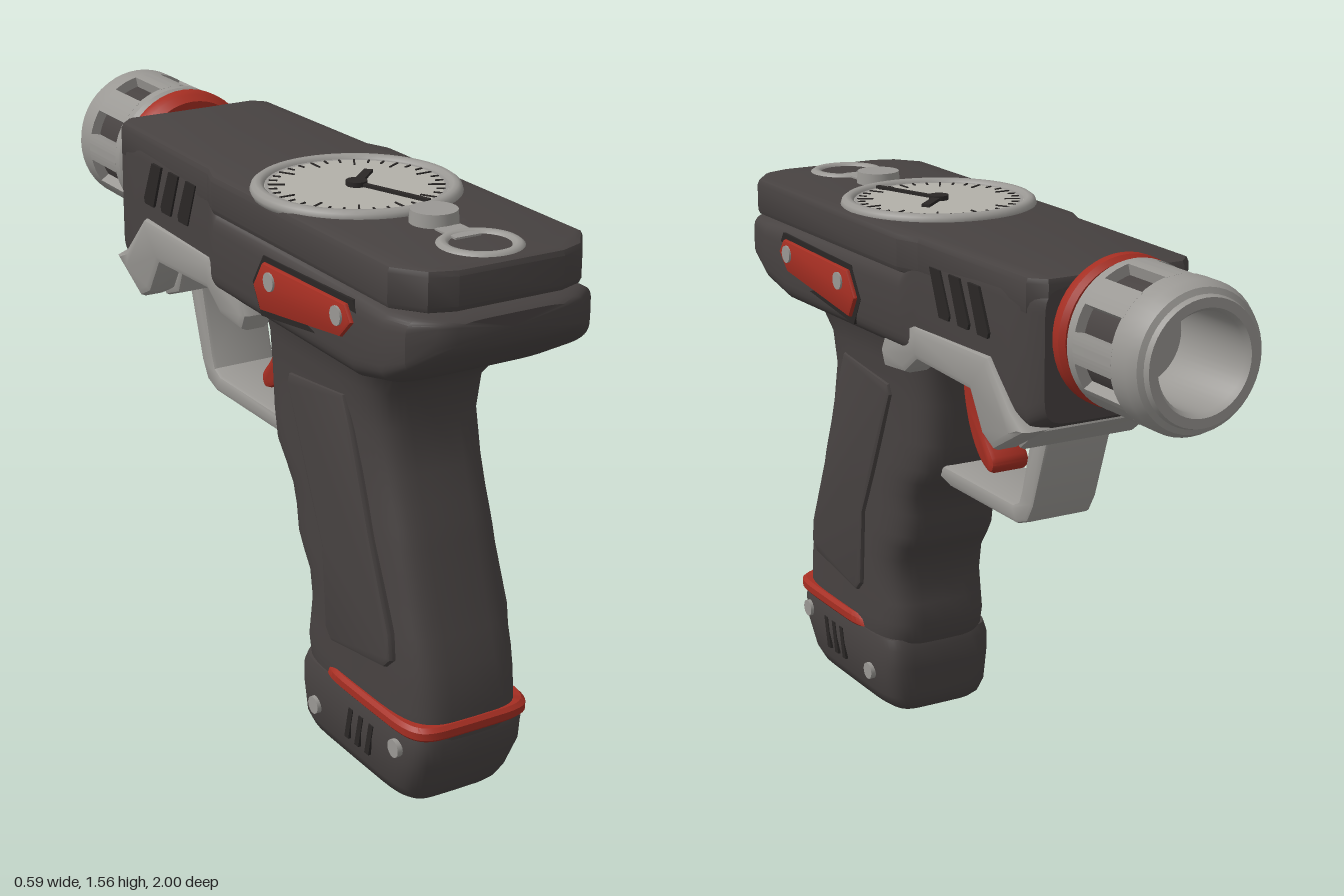
import * as THREE from 'three';
import { toCreasedNormals } from 'three/addons/utils/BufferGeometryUtils.js';

const mat = (name, color) => new THREE.MeshStandardMaterial({ name, color });

export function createModel() {
  const root = new THREE.Group();
  const dark = mat('charcoal', 0x474241), seam = mat('seam black', 0x2a2726);
  const red = mat('red', 0xa52e22), gray = mat('metal gray', 0x9a9894), pale = mat('dial gray', 0xb2b0a9);

  const add = (name, geo, m, x = 0, y = 0, z = 0) => {
    const mesh = new THREE.Mesh(geo, m);
    mesh.name = name;
    mesh.position.set(x, y, z);
    root.add(mesh);
    return mesh;
  };

  // Loft of rounded sections. Rows are [t, a0, a1, halfWidth, power]:
  // axis 'y' runs downward with a = z, axis 'z' runs upward with a = y.
  const loft = (rows, axis, power = 0.45, n = 48) => {
    const pos = [], idx = [];
    const pow = (v, p) => Math.sign(v) * Math.abs(v) ** p;
    const put = (x, a, t) => (axis === 'y' ? pos.push(x, t, a) : pos.push(x, a, t));
    rows.forEach(([t, a0, a1, hw, p = power], i) => {
      for (let j = 0; j < n; j++) {
        const k = (j / n) * Math.PI * 2;
        put(hw * pow(Math.cos(k), p), (a0 + a1) / 2 + ((a1 - a0) / 2) * pow(Math.sin(k), p), t);
        if (i === rows.length - 1) continue;
        const a = i * n + j, b = i * n + ((j + 1) % n);
        idx.push(a, b, a + n, b, b + n, a + n);
      }
    });
    const last = (rows.length - 1) * n, c0 = rows.length * n;
    for (const r of [rows[0], rows[rows.length - 1]]) put(0, (r[1] + r[2]) / 2, r[0]);
    for (let j = 0; j < n; j++) {
      const k = (j + 1) % n;
      idx.push(c0, k, j, c0 + 1, last + j, last + k);
    }
    const g = new THREE.BufferGeometry();
    g.setAttribute('position', new THREE.Float32BufferAttribute(pos, 3));
    g.setIndex(idx);
    return toCreasedNormals(g, 0.7);
  };

  const shapeOf = (pts, smooth) => {
    const v = pts.map(p => new THREE.Vector2(...p));
    if (!smooth) return new THREE.Shape(v);
    const curve = new THREE.CatmullRomCurve3(v.map(p => new THREE.Vector3(p.x, p.y, 0)), true);
    return new THREE.Shape(curve.getPoints(60).slice(0, -1).map(p => new THREE.Vector2(p.x, p.y)));
  };
  const extrude = (shape, depth, bevel) => new THREE.ExtrudeGeometry(shape, {
    depth: depth - 2 * bevel, bevelEnabled: bevel > 0, bevelSize: bevel, bevelThickness: bevel,
    bevelOffset: -bevel, bevelSegments: 2, curveSegments: 12,
  });
  // Side outline of [z, y] points, extruded across x and centred
  const across = (pts, width, bevel = 0, smooth = false) => {
    const g = extrude(shapeOf(pts, smooth), width, bevel);
    g.translate(0, 0, -width / 2 + bevel);
    return toCreasedNormals(g.rotateY(-Math.PI / 2), 0.6);
  };
  // The same plate on both sides, spanning |x| = x0..x1
  const pair = (name, pts, x0, x1, m, bevel = 0, smooth = false) => {
    for (const s of [1, -1]) add(name, across(pts, x1 - x0, bevel, smooth), m, s * (x0 + x1) / 2);
  };
  const sideScrews = (name, x, spots) => {
    for (const s of [1, -1]) for (const [z, y] of spots) {
      add(name, new THREE.CylinderGeometry(0.025, 0.025, 0.03, 16).rotateZ(Math.PI / 2), gray, s * x, y, z);
    }
  };

  // Receiver
  add('receiver', loft([
    [-0.62, 1.14, 1.49, 0.21, 0.25], [-0.58, 1.12, 1.5, 0.24, 0.2], [-0.5, 1.12, 1.5, 0.243, 0.2],
    [-0.46, 1.17, 1.5, 0.245, 0.2], [-0.05, 1.18, 1.5, 0.252, 0.2], [0.02, 1.18, 1.43, 0.275, 0.35],
    [0.72, 1.17, 1.42, 0.278, 0.38], [0.85, 1.2, 1.41, 0.278, 0.4], [0.94, 1.25, 1.41, 0.268, 0.4],
    [0.985, 1.3, 1.4, 0.21, 0.4], [1, 1.32, 1.39, 0.16, 0.4]], 'z'), dark);
  const half = [[0.2, -0.62], [0.24, -0.58], [0.252, -0.05], [0.278, 0.02], [0.28, 0.88], [0.22, 0.96], [0.15, 0.985]];
  const lid = [...half, ...half.map(([x, z]) => [-x, z]).reverse()];
  add('topCover', toCreasedNormals(extrude(shapeOf(lid), 0.11, 0.018).rotateX(Math.PI / 2), 0.5), dark, 0, 1.5);

  // Grip, with finger swells along its -z edge
  add('grip', loft([
    [1.3, 0.05, 0.9, 0.23], [1.21, 0.05, 0.86, 0.215], [1.17, 0.05, 0.76, 0.195], [1.1, 0.07, 0.695, 0.183],
    [1, 0.075, 0.68, 0.177], [0.88, 0.08, 0.71, 0.175], [0.8, 0.095, 0.737, 0.175], [0.75, 0.14, 0.755, 0.175],
    [0.7, 0.18, 0.772, 0.175], [0.64, 0.2, 0.79, 0.175], [0.57, 0.21, 0.815, 0.175], [0.53, 0.235, 0.827, 0.175],
    [0.48, 0.272, 0.845, 0.175], [0.4, 0.285, 0.87, 0.175], [0.34, 0.275, 0.883, 0.175],
    [0.28, 0.265, 0.89, 0.175], [0.22, 0.28, 0.892, 0.175], [0.2, 0.29, 0.89, 0.17]], 'y'), dark);
  pair('gripPanel', [[0.53, 1.06], [0.26, 1.03], [0.25, 1], [0.29, 0.91], [0.36, 0.75], [0.43, 0.6], [0.45, 0.37],
    [0.48, 0.34], [0.74, 0.38], [0.77, 0.41], [0.76, 0.48], [0.66, 0.72], [0.57, 0.97]], 0.15, 0.188, dark, 0.012);

  // Grip base with red band, slots and screws
  add('gripBase', loft([[0.23, 0.29, 0.885, 0.178], [0.2, 0.278, 0.892, 0.184], [0.14, 0.278, 0.885, 0.184],
    [0.05, 0.28, 0.845, 0.172], [0.015, 0.29, 0.825, 0.155], [0, 0.305, 0.81, 0.135]], 'y', 0.32), dark);
  add('baseBand', loft([[0.26, 0.43, 0.895, 0.18], [0.25, 0.42, 0.905, 0.189], [0.23, 0.41, 0.905, 0.189],
    [0.22, 0.42, 0.895, 0.18]], 'y', 0.35), red);
  for (let i = 0; i < 3; i++) {
    const z = 0.695 - i * 0.05;
    pair('baseSlot', [[z, 0.185], [z - 0.02, 0.185], [z - 0.04, 0.09], [z - 0.02, 0.09]], 0.178, 0.1865, seam);
  }
  sideScrews('baseScrew', 0.177, [[0.8, 0.175], [0.4, 0.11]]);

  // Red side plates in dark surrounds
  pair('plateSurround', [[0.72, 1.385], [0.29, 1.375], [0.235, 1.29], [0.28, 1.21], [0.69, 1.265], [0.755, 1.33]],
    0.262, 0.2765, seam);
  pair('sidePlate', [[0.7, 1.37], [0.3, 1.36], [0.255, 1.29], [0.29, 1.23], [0.68, 1.28], [0.73, 1.33]],
    0.26, 0.289, red, 0.008);
  sideScrews('plateScrew', 0.28, [[0.67, 1.333], [0.345, 1.322]]);

  // Slanted vents
  for (let i = 0; i < 3; i++) {
    const z = -0.115 - i * 0.1;
    pair('vent', [[z, 1.45], [z - 0.055, 1.45], [z - 0.105, 1.34], [z - 0.1, 1.325], [z - 0.05, 1.325]],
      0.247, 0.2545, seam);
  }

  // Trigger guard: side brackets, front bridge and loop
  pair('guardBracket', [[0.16, 1.165], [0.1, 1.285], [0.03, 1.3], [-0.05, 1.275], [-0.42, 1.28], [-0.53, 1.165],
    [-0.6, 1.125], [-0.54, 1.09], [-0.45, 1.04], [-0.39, 1.07], [-0.33, 1.17], [-0.05, 1.18], [0.02, 1.13],
    [0.14, 1.12]], 0.17, 0.262, gray, 0.02);
  add('guardBridge', across([[-0.32, 1.19], [-0.5, 1.19], [-0.54, 1.1], [-0.45, 1.03], [-0.37, 1.06]], 0.36, 0.015), gray);
  add('guardLoop', across([[0.12, 0.82], [0.12, 0.785], [0.06, 0.77], [-0.3, 0.77], [-0.355, 0.79], [-0.385, 0.84],
    [-0.46, 1.06], [-0.46, 1.15], [-0.37, 1.15], [-0.38, 1.07], [-0.325, 0.87], [-0.31, 0.835], [-0.28, 0.82]],
    0.2, 0.012), gray);
  add('trigger', across([[0.04, 1.2], [-0.12, 1.2], [-0.06, 1.1], [-0.04, 1.02], [-0.055, 0.95], [-0.11, 0.875],
    [-0.095, 0.845], [-0.04, 0.865], [0.015, 0.93], [0.05, 1.02], [0.06, 1.1]], 0.12, 0.015, true), red);

  // Barrel, turned about the z axis (profiles are [radius, distance toward -z])
  const axisY = 1.365;
  const turned = (name, pts, m) => add(name, toCreasedNormals(
    new THREE.LatheGeometry(pts.map(p => new THREE.Vector2(...p)), 48).rotateX(-Math.PI / 2), 0.6), m, 0, axisY);
  turned('redCollar', [[0, 0.6], [0.175, 0.6], [0.19, 0.622], [0.197, 0.635], [0.197, 0.66], [0.185, 0.675], [0, 0.675]], red);
  turned('barrelCore', [[0, 0.67], [0.165, 0.67], [0.165, 0.92], [0, 0.92]].slice(0, 3), dark);
  turned('barrelRear', [[0.16, 0.67], [0.18, 0.675], [0.194, 0.695], [0.194, 0.725], [0.16, 0.725]], gray);
  turned('muzzle', [[0.16, 0.885], [0.194, 0.885], [0.194, 0.95], [0.18, 0.978], [0.165, 0.985], [0.16, 1],
    [0.135, 1], [0.125, 0.985], [0.125, 0.72], [0, 0.72]], gray);
  for (let i = 0; i < 8; i++) {
    const rib = new THREE.Shape(), mid = (i * Math.PI) / 4, w = 0.205;
    rib.absarc(0, 0, 0.194, mid - w, mid + w, false);
    rib.absarc(0, 0, 0.155, mid + w, mid - w, true);
    add('barrelRib', toCreasedNormals(extrude(rib, 0.17, 0), 0.5), gray, 0, axisY, -0.89);
  }

  // Dial on top
  const dial = new THREE.Group();
  dial.name = 'dial';
  dial.position.set(-0.012, 1.5, 0.31);
  root.add(dial);
  const onDial = (name, geo, m) => {
    const mesh = new THREE.Mesh(geo, m);
    mesh.name = name;
    dial.add(mesh);
    return mesh;
  };
  onDial('dialFace', new THREE.CylinderGeometry(0.255, 0.265, 0.026, 48).translate(0, 0.013, 0), pale);
  onDial('dialRim', new THREE.TorusGeometry(0.254, 0.02, 10, 56).rotateX(Math.PI / 2).translate(0, 0.018, 0), gray);
  onDial('dialGroove', new THREE.RingGeometry(0.226, 0.236, 56).rotateX(-Math.PI / 2).translate(0, 0.0275, 0), gray);
  for (let i = 0; i < 36; i++) {
    const len = i % 3 ? 0.022 : 0.045;
    onDial('dialTick', new THREE.BoxGeometry(0.005, 0.004, len).translate(0, 0.027, 0.228 - len / 2), seam)
      .rotation.y = (i * Math.PI) / 18;
  }
  const hand = (w, len, angle) => {
    onDial('dialHand', new THREE.BoxGeometry(w, 0.008, len).translate(0, 0.031, len / 2), seam).rotation.y = angle;
  };
  hand(0.024, 0.12, Math.PI * 0.74);
  hand(0.014, 0.235, 0.33);
  onDial('dialHub', new THREE.CylinderGeometry(0.028, 0.028, 0.014, 20).translate(0, 0.032, 0), seam);

  // Button, strap, pull ring and corner screws
  add('buttonSeat', new THREE.CylinderGeometry(0.08, 0.085, 0.02, 32), dark, 0, 1.508, 0.65);
  add('button', new THREE.CylinderGeometry(0.06, 0.064, 0.05, 32), gray, 0, 1.527, 0.65);
  add('strap', new THREE.BoxGeometry(0.075, 0.03, 0.09), gray, 0, 1.508, 0.755);
  add('pullRing', new THREE.TorusGeometry(0.092, 0.019, 10, 40).rotateX(Math.PI / 2), gray, 0, 1.508, 0.85);
  for (const [x, z] of [[0.163, -0.55], [0.205, 0.9]]) for (const s of [1, -1]) {
    add('topScrew', new THREE.CylinderGeometry(0.024, 0.024, 0.02, 16), gray, s * x, 1.497, z);
  }
  return root;
}
